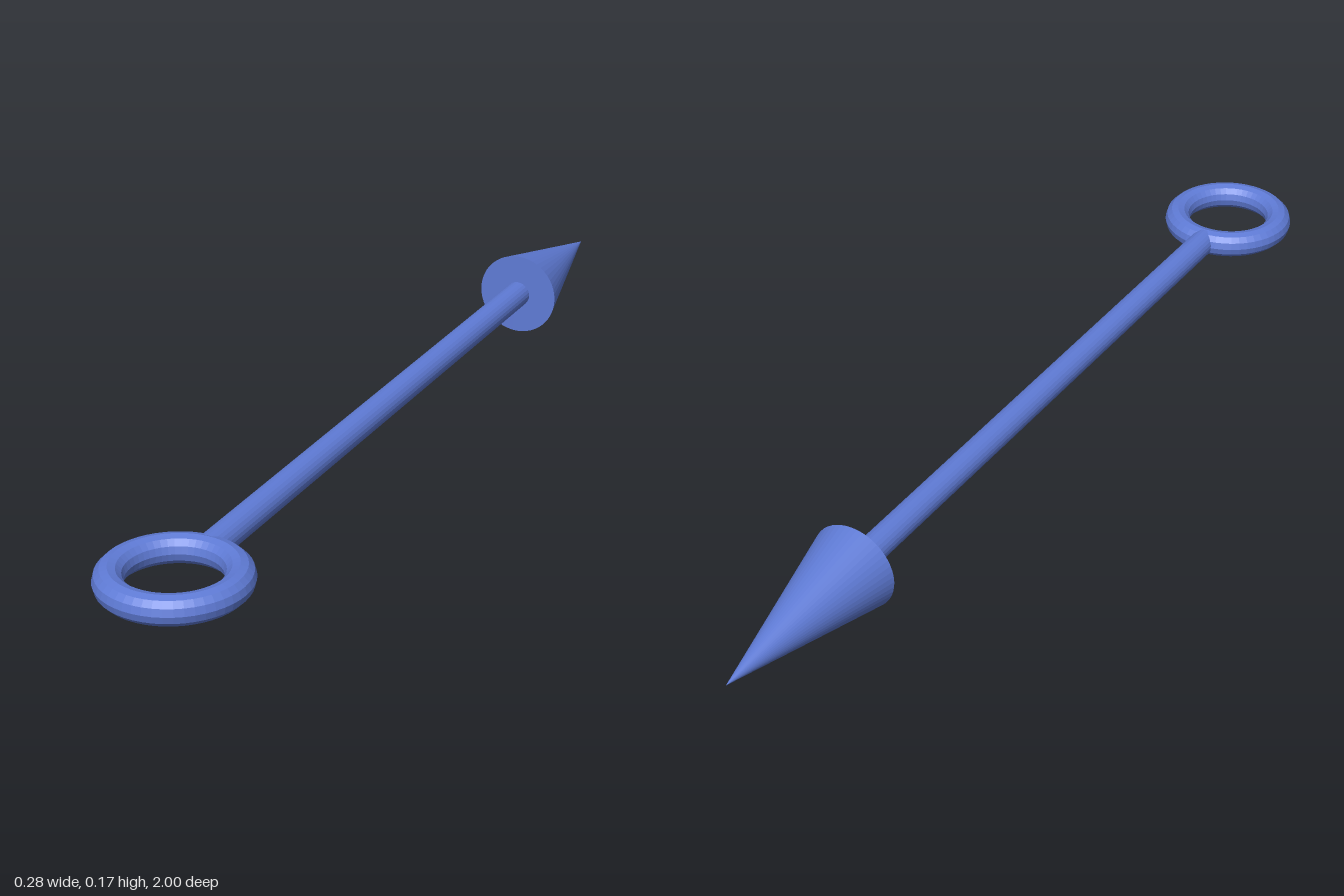
import * as THREE from 'three';

export function createModel() {
  const group = new THREE.Group();
  const material = new THREE.MeshStandardMaterial({ color: 0x5f7bd6, flatShading: true });
  const axisY = 0.0875;
  const rod = 0.0275; // shared radius of shaft and ring tube

  const add = (name, geometry, z) => {
    const mesh = new THREE.Mesh(geometry, material);
    mesh.name = name;
    mesh.rotation.x = -Math.PI / 2; // local +y points to the back
    mesh.position.set(0, axisY, z);
    group.add(mesh);
  };

  // pointed head with a closed flat base
  const headLength = 0.38;
  add('head', new THREE.ConeGeometry(0.0875, headLength, 48), -1 + headLength / 2);

  // shaft from the head base into the ring tube
  const shaftBack = -0.62, shaftFront = 0.745;
  add('shaft', new THREE.CylinderGeometry(rod, rod, shaftFront - shaftBack, 24),
    (shaftFront + shaftBack) / 2);

  // horizontal ring handle
  add('ring', new THREE.TorusGeometry(0.1125, rod, 12, 48), 0.86);

  return group;
}
